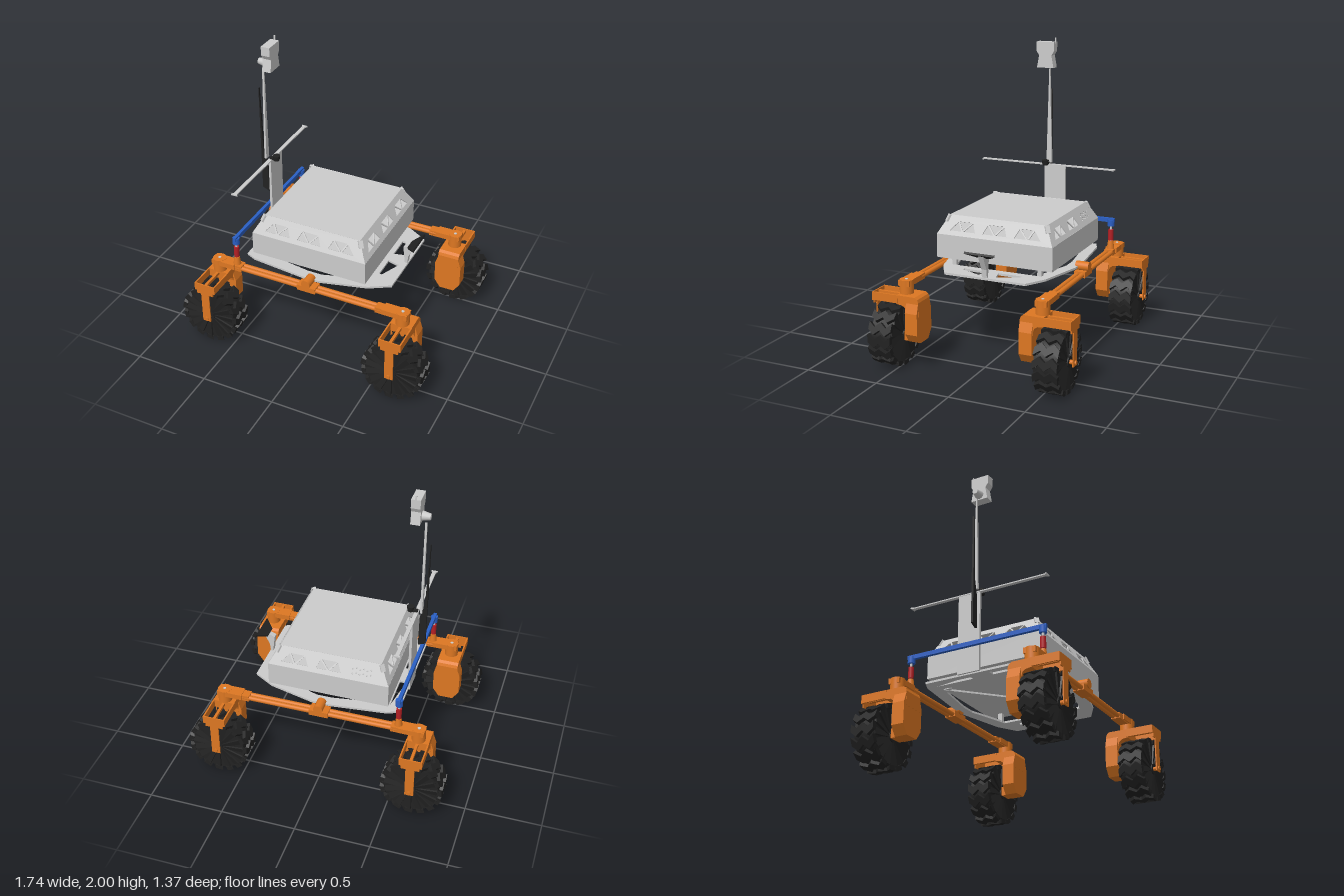
import * as THREE from 'three';

const mat = (color) => new THREE.MeshStandardMaterial({ color, side: THREE.DoubleSide });
const GREY = mat(0xcccccc), ORANGE = mat(0xdd7722), BLACK = mat(0x222222);
const BLUE = mat(0x2a5fc4), RED = mat(0xb52025);

function add(parent, name, geo, material, x = 0, y = 0, z = 0) {
  const m = new THREE.Mesh(geo, material);
  m.name = name;
  m.position.set(x, y, z);
  parent.add(m);
  return m;
}
// Box given by its min and max on each axis
function box(parent, name, material, [x0, x1], [y0, y1], [z0, z1]) {
  return add(parent, name, new THREE.BoxGeometry(x1 - x0, y1 - y0, z1 - z0), material,
    (x0 + x1) / 2, (y0 + y1) / 2, (z0 + z1) / 2);
}
const poly = (pts) => new THREE.Shape(pts.map(([a, b]) => new THREE.Vector2(a, b)));
// Extrusion centred on its depth
function slab(pts, depth, holes = []) {
  const s = poly(pts);
  s.holes = holes.map(poly);
  const g = new THREE.ExtrudeGeometry(s, { depth, bevelEnabled: false, curveSegments: 8 });
  return g.translate(0, 0, -depth / 2);
}
// Profile drawn in (z, y), extruded along x
const slabX = (pts, depth) => slab(pts, depth).rotateY(-Math.PI / 2);
// Outline drawn in (x, z), lying flat
const slabY = (pts, depth, holes) => slab(pts, depth, holes).rotateX(Math.PI / 2);
const cyl = (r0, r1, h, n = 24) => new THREE.CylinderGeometry(r0, r1, h, n);

// Chevron tread bar: a box bent into a zigzag along the axle
function treadBar() {
  const g = new THREE.BoxGeometry(0.05, 0.03, 0.16, 1, 1, 4).toNonIndexed();
  const p = g.attributes.position;
  for (let i = 0; i < p.count; i++) {
    const k = Math.round((p.getZ(i) + 0.08) / 0.04);
    p.setX(i, p.getX(i) + (k % 2 ? 0.016 : -0.016));
  }
  g.computeVertexNormals();
  return g;
}

const BAR = treadBar();
const BLADE = slab([[0.03, -0.012], [0.175, -0.038], [0.19, 0.03], [0.03, 0.012]], 0.012).rotateX(0.28);

function makeWheel() {
  const w = new THREE.Group();
  w.name = 'wheel';
  add(w, 'wheelDrum', cyl(0.182, 0.182, 0.14, 30).rotateX(Math.PI / 2), BLACK);
  add(w, 'wheelHub', cyl(0.035, 0.035, 0.165, 16).rotateX(Math.PI / 2), BLACK);
  const n = 15;
  for (let i = 0; i < n; i++) {
    const a = (i / n) * Math.PI * 2;
    const bar = add(w, 'treadBar', BAR, BLACK, Math.cos(a) * 0.189, Math.sin(a) * 0.189, 0);
    bar.rotation.z = a - Math.PI / 2;
    for (const z of [-0.068, 0.068]) add(w, 'spokeBlade', BLADE, BLACK, 0, 0, z).rotation.z = a;
  }
  return w;
}

// Steered fork with its wheel; outward is +z
function makeFork() {
  const f = new THREE.Group();
  f.name = 'wheelFork';
  add(f, 'forkShoulder', slabX([[0.345, 0.36], [0.345, 0.45], [0.352, 0.47], [0.37, 0.483], [0.5, 0.483],
    [0.5, 0.425], [0.46, 0.42], [0.44, 0.405], [0.432, 0.38], [0.432, 0.36]], 0.146), ORANGE);
  add(f, 'motorHousing', slab([[-0.05, 0.18], [0.05, 0.18], [0.092, 0.24], [0.092, 0.38], [0.073, 0.44],
    [-0.073, 0.44], [-0.092, 0.38], [-0.092, 0.24]], 0.085), ORANGE, 0, 0, 0.3885);
  box(f, 'axleBlock', ORANGE, [-0.045, 0.045], [0.18, 0.24], [0.43, 0.465]);
  add(f, 'axle', cyl(0.014, 0.014, 0.24, 12).rotateX(Math.PI / 2), ORANGE, 0, 0.205, 0.565);
  // Open frame over the wheel
  for (const s of [-1, 1]) box(f, 'frameSide', ORANGE, [s * 0.07 - 0.005, s * 0.07 + 0.005], [0.43, 0.483], [0.49, 0.675]);
  box(f, 'frameRib', ORANGE, [-0.009, 0.009], [0.455, 0.475], [0.49, 0.675]);
  box(f, 'frameEnd', ORANGE, [-0.075, 0.075], [0.428, 0.483], [0.668, 0.676]);
  box(f, 'frameLip', ORANGE, [-0.06, 0.06], [0.405, 0.43], [0.668, 0.676]);
  box(f, 'outerArm', ORANGE, [-0.029, 0.029], [0.185, 0.43], [0.668, 0.676]);
  add(f, 'steeringHousing', cyl(0.045, 0.045, 0.092), ORANGE, 0, 0.527, 0.465);
  add(f, 'steeringCap', cyl(0.01, 0.01, 0.004, 12), GREY, 0, 0.574, 0.465);
  const wheel = makeWheel();
  wheel.position.set(0, 0.205, 0.56);
  f.add(wheel);
  return f;
}

// Rocker arm along one side, wheels at both ends; outward is +z
function makeRocker() {
  const r = new THREE.Group();
  r.name = 'rockerArm';
  for (const z of [0.448, 0.482]) {
    add(r, 'rockerTube', cyl(0.016, 0.016, 1.16, 14).rotateZ(Math.PI / 2), ORANGE, 0, 0.547, z);
  }
  box(r, 'rockerSleeve', ORANGE, [-0.065, 0.065], [0.53, 0.568], [0.427, 0.503]);
  add(r, 'pivot', cyl(0.031, 0.031, 0.09).rotateX(Math.PI / 2), ORANGE, 0, 0.59, 0.465);
  for (const s of [-1, 1]) {
    const x = [s * 0.7, s * 0.53].sort((a, b) => a - b);
    box(r, 'endBracket', ORANGE, x, [0.535, 0.571], [0.427, 0.506]);
    const c = [s * 0.61, s * 0.48].sort((a, b) => a - b);
    box(r, 'tubeClamp', ORANGE, c, [0.528, 0.567], [0.435, 0.497]);
    const fork = makeFork();
    fork.position.x = s * 0.66;
    r.add(fork);
  }
  return r;
}

// Three triangular openings forming a truss window
function trussWindow(u0, u1, in0, in1) {
  const v0 = 0.028, v1 = 0.1, m = (u0 + u1) / 2, t0 = u0 + in0, t1 = u1 - in1;
  const tris = [[[u0, v0], [m, v0], [t0, v1]], [[m, v0], [t1, v1], [t0, v1]], [[m, v0], [u1, v0], [t1, v1]]];
  return tris.map((t) => {
    const cu = (t[0][0] + t[1][0] + t[2][0]) / 3, cv = (t[0][1] + t[1][1] + t[2][1]) / 3;
    return t.map(([u, v]) => [cu + (u - cu) * 0.84, cv + (v - cv) * 0.84]);
  });
}

function makeBody() {
  const b = new THREE.Group();
  b.name = 'body';
  b.position.x = -0.033;
  const H = 0.403, T = 0.338, tilt = Math.atan2(H - T, 0.12), len = Math.hypot(H - T, 0.12);
  box(b, 'lowerHull', GREY, [-H, H], [0.645, 0.802], [-H, H]);
  box(b, 'lid', GREY, [-T, T], [0.91, 0.92], [-T, T]);
  const middle = trussWindow(-0.09, 0.09, 0.03, 0.03), right = trussWindow(0.13, 0.325, 0.03, 0.06);
  const left = trussWindow(-0.325, -0.13, 0.06, 0.03);
  // Scattered vent holes take the place of one window at the back
  const vents = [];
  for (let i = 0; i < 12; i++) {
    const u = 0.16 + (i % 6) * 0.024, v = 0.045 + Math.floor(i / 6) * 0.03 + (i % 2) * 0.008, r = 0.008;
    vents.push([[u - r, v], [u, v - r], [u + r, v], [u, v + r]]);
  }
  for (let k = 0; k < 4; k++) {
    const holes = [...left, ...middle, ...(k === 2 ? vents : right)];
    const g = slab([[-H, 0], [H, 0], [T, len], [-T, len]], 0.006, holes);
    g.rotateX(-tilt).translate(0, 0.8, H - 0.003).rotateY(k * Math.PI / 2);
    add(b, 'windowPanel', g, GREY);
    const a = Math.PI / 4 + k * Math.PI / 2;
    const tab = add(b, 'cornerBracket', new THREE.BoxGeometry(0.03, 0.05, 0.012), GREY,
      Math.sin(a) * 0.49, 0.9, Math.cos(a) * 0.49);
    tab.rotation.set(-0.5, a, 0, 'YXZ');
  }
  return b;
}

function makeBasePlate() {
  const p = new THREE.Group();
  p.name = 'basePlate';
  const half = [[0.505, 0.28], [0.37, 0.36], [0.06, 0.44], [-0.06, 0.44], [-0.43, 0.4], [-0.5, 0.37]];
  const flip = (pts) => pts.map(([x, z]) => [x, -z]).reverse();
  const flank = [[0.38, 0.04], [0.46, 0.06], [0.4, 0.2], [0.38, 0.2]];
  const rear = [[-0.475, 0.07], [-0.43, 0.07], [-0.43, 0.33]];
  const well = [[0.33, -0.28], [0.33, 0.28], [0.05, 0.37], [-0.05, 0.37], [-0.38, 0.32], [-0.38, -0.32], [-0.05, -0.37], [0.05, -0.37]];
  add(p, 'plateFrame', slabY([...half, ...flip(half)], 0.014, [well, flank, flip(flank), rear, flip(rear)]), GREY, 0, 0.588);
  for (const s of [-1, 1]) {
    add(p, 'plateBrace', new THREE.BoxGeometry(0.5, 0.012, 0.03), GREY, -0.19, 0.588, s * 0.18).rotation.y = s * 0.76;
    for (const x of [-0.36, 0.3]) box(p, 'bodyPost', GREY, [x, x + 0.03], [0.585, 0.65], [s * 0.3 - 0.015, s * 0.3 + 0.015]);
  }
  return p;
}

export function createModel() {
  const model = new THREE.Group();
  model.name = 'rover';
  for (const turn of [0, Math.PI]) {
    const rocker = makeRocker();
    rocker.rotation.y = turn;
    model.add(rocker);
  }
  model.add(makeBasePlate(), makeBody());

  // Rear balance bar on two dampers
  box(model, 'balanceBar', BLUE, [-0.536, -0.514], [0.755, 0.783], [-0.49, 0.49]);
  for (const s of [-1, 1]) {
    const z = s * 0.465;
    add(model, 'damperJoint', cyl(0.024, 0.024, 0.045, 16), BLUE, -0.525, 0.75, z);
    add(model, 'damperRod', cyl(0.008, 0.008, 0.16, 10), GREY, -0.525, 0.66, z);
    add(model, 'damper', cyl(0.018, 0.018, 0.075, 16), RED, -0.525, 0.665, z);
    add(model, 'damperFoot', cyl(0.018, 0.026, 0.055, 16), ORANGE, -0.525, 0.595, z);
  }

  // Mast panel with crossbar and small sensor
  box(model, 'mastPanel', GREY, [-0.512, -0.495], [0.59, 1.125], [-0.135, 0.02]);
  box(model, 'crossbar', GREY, [-0.515, -0.49], [1.12, 1.128], [-0.485, 0.485]);
  for (const s of [-1, 1]) {
    add(model, 'crossbarTip', slabY([[-0.525, s * 0.49], [-0.48, s * 0.49], [-0.502, s * 0.45]], 0.01), GREY, 0, 1.124);
  }
  box(model, 'sensorArm', BLACK, [-0.51, -0.45], [1.125, 1.14], [-0.012, 0.012]);
  add(model, 'sensor', cyl(0.025, 0.02, 0.035, 12), BLACK, -0.462, 1.143);

  // Tapered antenna blades
  add(model, 'rearBlade', slab([[-0.573, 1.64], [-0.57, 1.64], [-0.555, 1.2], [-0.525, 1.08], [-0.522, 0.87], [-0.57, 0.89]], 0.014), BLACK);
  add(model, 'tallBlade', slabX([[-0.003, 1.79], [0.003, 1.79], [0.02, 1.13], [-0.02, 1.13]], 0.014), GREY, -0.535);

  // Camera head above the mast
  add(model, 'cameraHead', slabX([[-0.062, 1.97], [-0.062, 1.91], [-0.045, 1.88], [-0.06, 1.797], [0.06, 1.797],
    [0.045, 1.88], [0.065, 1.91], [0.065, 1.97]], 0.06), GREY, -0.479);
  add(model, 'cameraLens', cyl(0.02, 0.032, 0.055, 12).rotateZ(Math.PI / 2), GREY, -0.535, 1.835);
  box(model, 'headAntenna', GREY, [-0.485, -0.475], [1.96, 2.0], [-0.067, -0.06]);

  // Side display on a wedge post
  add(model, 'displayPost', slab([[0.485, 0.59], [0.5, 0.59], [0.507, 0.65], [0.555, 0.75], [0.47, 0.715]], 0.035), GREY);
  const display = add(model, 'display', slabY([[-0.035, -0.04], [0.035, -0.105], [0.035, 0.105], [-0.035, 0.04]], 0.014), BLACK, 0.54, 0.748);
  display.rotation.z = 0.5;
  return model;
}
